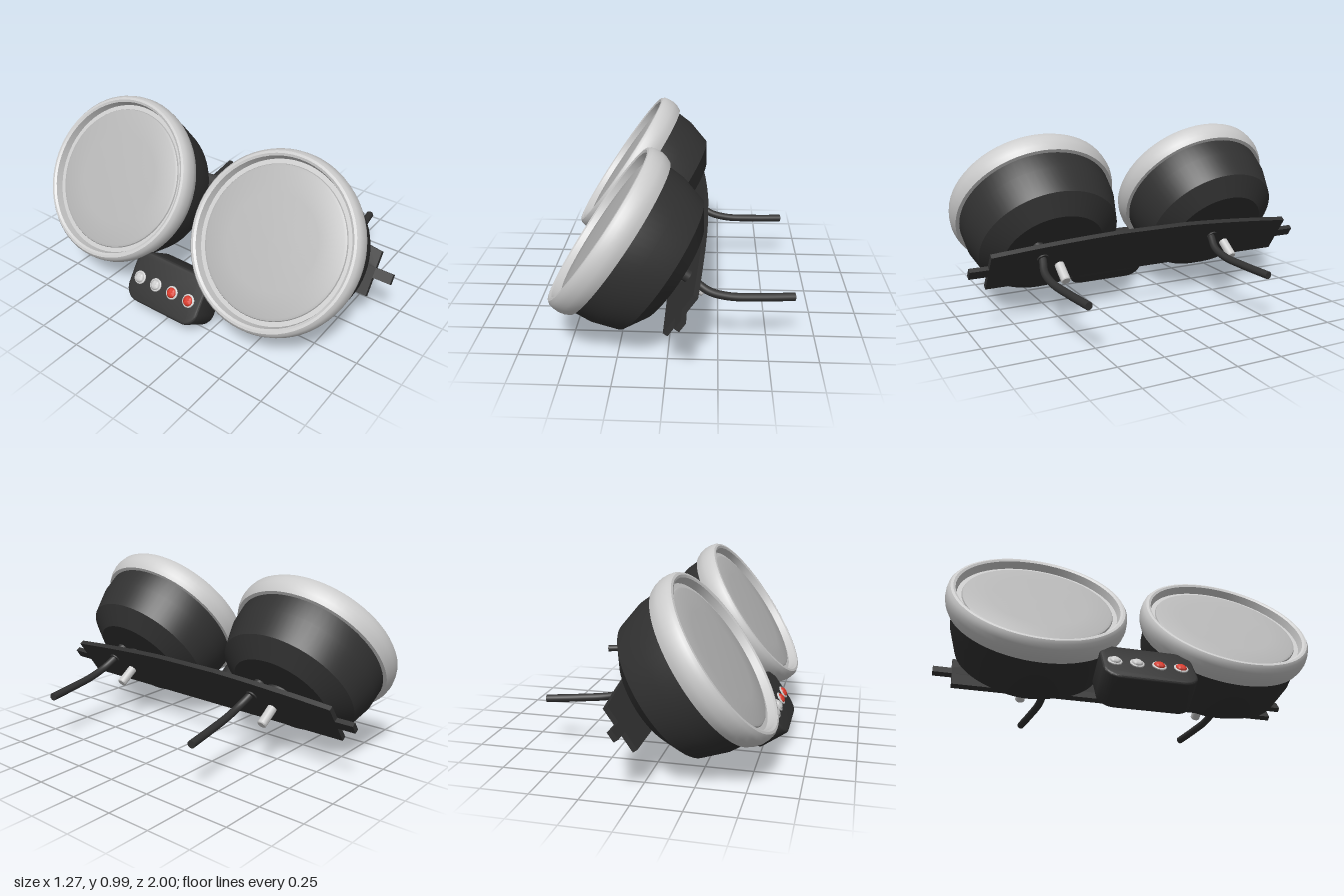
import * as THREE from 'three';
import { toCreasedNormals } from 'three/addons/utils/BufferGeometryUtils.js';

const mat = (name, color) => {
  const m = new THREE.MeshStandardMaterial({ color });
  m.name = name;
  return m;
};

export function createModel() {
  const black = mat('black plastic', 0x313131);
  const silver = mat('silver metal', 0xcccccc);
  const glass = mat('grey glass', 0xb5b5b5);
  const red = mat('red lens', 0xd93a2b);

  const model = new THREE.Group();
  model.name = 'gaugeCluster';

  // Tilted frame: local y points out of the dials, local x runs up their faces
  const cluster = new THREE.Group();
  cluster.name = 'tiltedCluster';
  cluster.rotation.z = Math.atan2(0.82, 0.57);
  model.add(cluster);

  const add = (parent, name, geometry, material, x = 0, y = 0, z = 0) => {
    const mesh = new THREE.Mesh(geometry, material);
    mesh.name = name;
    mesh.position.set(x, y, z);
    parent.add(mesh);
    return mesh;
  };
  const lathe = (points, segments = 64, crease = 0.5) => toCreasedNormals(
    new THREE.LatheGeometry(points.map(([r, y]) => new THREE.Vector2(r, y)), segments), crease);

  // Extrudes a (z, x) outline along local y
  const basis = new THREE.Matrix4().makeBasis(
    new THREE.Vector3(0, 0, 1), new THREE.Vector3(1, 0, 0), new THREE.Vector3(0, 1, 0));
  const slab = (shape, options) => toCreasedNormals(
    new THREE.ExtrudeGeometry(shape, { curveSegments: 10, ...options }).applyMatrix4(basis), 0.6);

  // Gauge profiles
  const bodyGeo = lathe([[0, 0.203], [0.28, 0.203], [0.388, 0.28], [0.427, 0.42], [0.433, 0.54]]);
  const rimGeo = lathe([[0.425, 0.522], [0.452, 0.524], [0.464, 0.55], [0.47, 0.58], [0.468, 0.61],
    [0.462, 0.635], [0.45, 0.65], [0.437, 0.652], [0.425, 0.645], [0.416, 0.605], [0.385, 0.605]]);
  const glassGeo = lathe([[0.393, 0.603], [0.388, 0.612], [0.375, 0.617], [0.25, 0.622], [0.12, 0.625], [0, 0.626]]);
  const spacerGeo = lathe([[0.06, 0.14], [0.06, 0.165], [0.09, 0.165], [0.09, 0.205]], 32);
  const postGeo = lathe([[0, 0.004], [0.022, 0.004], [0.026, 0.009], [0.026, 0.15]], 24);
  const grommetGeo = new THREE.CylinderGeometry(0.032, 0.032, 0.1, 24);

  for (const side of [1, -1]) {
    const gauge = new THREE.Group();
    gauge.name = side > 0 ? 'frontGauge' : 'rearGauge';
    gauge.position.set(0.31, 0, 0.515 * side);
    cluster.add(gauge);
    add(gauge, 'housing', bodyGeo, black);
    add(gauge, 'rim', rimGeo, silver);
    add(gauge, 'glass', glassGeo, glass);
    add(gauge, 'mountSpacer', spacerGeo, black);
    add(gauge, 'mountPost', postGeo, silver);
    add(gauge, 'cableGrommet', grommetGeo, black, 0.07, 0.16, 0.105);

    // Cable leaving the back of the gauge
    const path = new THREE.CatmullRomCurve3([
      [0.05, 0.425, 0.105], [0.12, 0.38, 0.11], [0.2, 0.328, 0.13], [0.3, 0.3, 0.127],
      [0.45, 0.287, 0.105], [0.63, 0.278, 0.075],
    ].map(([x, y, z]) => new THREE.Vector3(x, y, z + 0.512 * side)));
    const cable = new THREE.Group();
    cable.name = 'cable';
    model.add(cable);
    add(cable, 'cableSleeve', new THREE.TubeGeometry(path, 40, 0.021, 12), black);
    const cap = add(cable, 'cableEnd', new THREE.CircleGeometry(0.021, 12), black);
    cap.position.copy(path.getPoint(1));
    cap.quaternion.setFromUnitVectors(new THREE.Vector3(0, 0, 1), path.getTangent(1));
  }

  // Bracket plate with a gently bowed top edge and an end tab on each side
  const plate = new THREE.Shape();
  plate.moveTo(-0.9, 0.188);
  plate.lineTo(0.9, 0.188);
  plate.lineTo(0.9, 0.29);
  plate.lineTo(1, 0.29);
  plate.lineTo(1, 0.345);
  plate.lineTo(0.9, 0.345);
  plate.lineTo(0.9, 0.435);
  plate.quadraticCurveTo(0.5, 0.485, 0.2, 0.498);
  plate.lineTo(-0.2, 0.498);
  plate.quadraticCurveTo(-0.5, 0.485, -0.9, 0.435);
  plate.lineTo(-0.9, 0.345);
  plate.lineTo(-1, 0.345);
  plate.lineTo(-1, 0.29);
  plate.lineTo(-0.9, 0.29);
  add(cluster, 'bracketPlate', slab(plate, { depth: 0.027, bevelEnabled: false }), black, 0, 0.118, 0);

  // Indicator box with rounded corners
  const w = 0.225, lo = -0.268, hi = -0.012, r = 0.07;
  const box = new THREE.Shape();
  box.moveTo(-w + r, lo);
  box.lineTo(w - r, lo);
  box.absarc(w - r, lo + r, r, -Math.PI / 2, 0);
  box.lineTo(w, hi - r);
  box.absarc(w - r, hi - r, r, 0, Math.PI / 2);
  box.lineTo(-w + r, hi);
  box.absarc(-w + r, hi - r, r, Math.PI / 2, Math.PI);
  box.lineTo(-w, lo + r);
  box.absarc(-w + r, lo + r, r, Math.PI, Math.PI * 1.5);
  add(cluster, 'indicatorBox', slab(box, {
    depth: 0.159, bevelThickness: 0.012, bevelSize: 0.012, bevelSegments: 3,
  }), black, 0, 0.412, 0);

  // Four indicator lamps: domed lens inside a thin bezel
  const bezelGeo = lathe([[0.036, 0], [0.036, 0.006], [0.032, 0.009], [0.027, 0.009]], 28);
  const lensGeo = lathe([[0.029, 0], [0.028, 0.01], [0.021, 0.017], [0.011, 0.021], [0, 0.022]], 28, 0.8);
  [-0.173, -0.062, 0.05, 0.161].forEach((z, i) => {
    add(cluster, 'lampBezel', bezelGeo, silver, -0.15, 0.582, z);
    add(cluster, 'lampLens', lensGeo, i < 2 ? silver : red, -0.15, 0.582, z);
  });

  return model;
}
